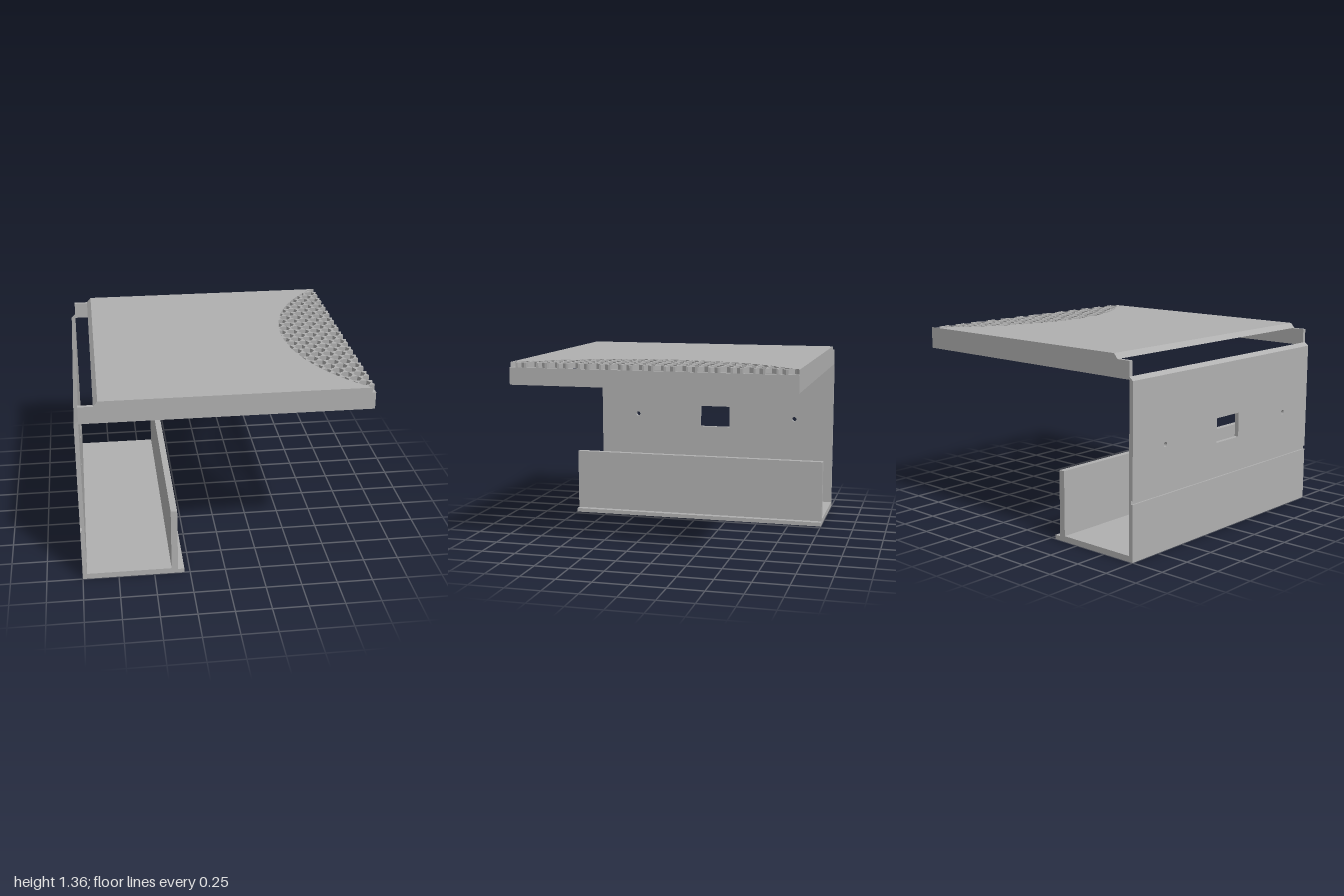
import * as THREE from 'three';
import { mergeGeometries } from 'three/addons/utils/BufferGeometryUtils.js';

const shapeOf = (pts) => new THREE.Shape(pts.map(([x, y]) => new THREE.Vector2(x, y)));
const extrude = (shape, depth) => new THREE.ExtrudeGeometry(shape, { depth, bevelEnabled: false, curveSegments: 12 });

// Profile in x, y drawn out along z
const alongZ = (pts, z0, z1) => extrude(shapeOf(pts), z1 - z0).translate(0, 0, z0);
// Outline in x, z raised from y0 to y1
const upright = (pts, y0, y1) =>
  extrude(shapeOf(pts.map(([x, z]) => [x, -z])), y1 - y0).rotateX(-Math.PI / 2).translate(0, y0, 0);

// Cut a convex polygon so that sign * p[axis] <= 1
function clip(poly, axis, sign) {
  const out = [];
  poly.forEach((a, i) => {
    const b = poly[(i + 1) % poly.length];
    const da = sign * a[axis] - 1, db = sign * b[axis] - 1;
    if (da <= 0) out.push(a);
    if (da * db < 0) {
      const t = da / (da - db);
      out.push([a[0] + (b[0] - a[0]) * t, a[1] + (b[1] - a[1]) * t]);
    }
  });
  return out;
}

export function createModel() {
  const group = new THREE.Group();
  const grey = new THREE.MeshStandardMaterial({ color: 0xb0b0b0 });
  grey.name = 'plain grey';
  const add = (name, geometry) => {
    const mesh = new THREE.Mesh(geometry, grey);
    mesh.name = name;
    group.add(mesh);
  };

  // Trough: floor, front lip, inner wall and grooved foot of the tall wall
  add('trough', alongZ([
    [-1, 0], [-0.29, 0], [-0.29, 0.03], [-0.335, 0.03], [-0.335, 0.5], [-0.38, 0.5], [-0.38, 0.04],
    [-0.97, 0.04], [-0.97, 0.5], [-1, 0.5], [-1, 0.415], [-0.988, 0.415], [-0.988, 0.39], [-1, 0.39],
  ], -1, 1));

  // Tall wall with a window and two screw holes
  const wall = shapeOf([[-1, 0.5], [1, 0.5], [1, 1.195], [-1, 1.195]]);
  const windowHole = shapeOf([[-0.126, 0.64], [-0.126, 0.815], [0.126, 0.815], [0.126, 0.64]]);
  wall.holes.push(windowHole);
  for (const s of [-1, 1]) wall.holes.push(new THREE.Path().absarc(s * 0.678, 0.73, 0.018, 0, Math.PI * 2, true));
  add('tallWall', extrude(wall, 0.03).rotateY(-Math.PI / 2).translate(-0.97, 0, 0));
  add('wallTopBevel', alongZ([[-1, 1.195], [-0.97, 1.195], [-0.97, 1.22]], -1, 1));

  // Deck, its front side ending in a shallow arc
  const low = 1.32, high = 1.355, cx = 1.922, radius = 1.377;
  const outline = [[-0.84, -1]];
  for (let i = 0; i <= 40; i++) {
    const z = -1 + i / 20;
    outline.push([cx - Math.sqrt(radius ** 2 - z * z), z]);
  }
  outline.push([-0.84, 1]);
  add('deck', upright(outline, low, high));
  add('deckSlopedEdge', alongZ([[-0.87, low], [-0.84, low], [-0.84, high]], -1, 1));

  // Skirt below the deck on three sides
  for (const [name, z0, z1] of [['leftSkirt', -1, -0.972], ['rightSkirt', 0.972, 1]])
    add(name, alongZ([[-0.97, 1.2], [1, 1.2], [1, low], [-0.97, low]], z0, z1));
  add('endSkirt', alongZ([[0.97, 1.2], [1, 1.2], [1, low], [0.97, low]], -0.972, 0.972));

  // Grille of hexagonal holes: pairs of small triangles joined at their tips
  const pitch = 0.0867, row = pitch * Math.sqrt(3) / 2, grow = 1.1;
  const pieces = [];
  for (let r = -14; r <= 14; r++) {
    const zc = 0.013 + r * row;
    for (let c = -1; c < 7; c++) {
      const xc = 0.985 - (c + (r % 2 ? 0.5 : 0)) * pitch;
      for (const s of [-1, 1]) {
        const mid = zc + s * row / 3;
        let tri = [[0, -row / 3], [pitch / 4, row / 6], [-pitch / 4, row / 6]]
          .map(([x, z]) => [xc + x * grow, mid + s * z * grow]);
        if (!tri.some(([x, z]) => Math.hypot(x - cx, z) < radius)) continue;
        for (const [axis, sign] of [[0, 1], [1, 1], [1, -1]]) tri = clip(tri, axis, sign);
        if (tri.length > 2) pieces.push(upright(tri, low, high));
      }
    }
  }
  add('grille', mergeGeometries(pieces));

  return group;
}
